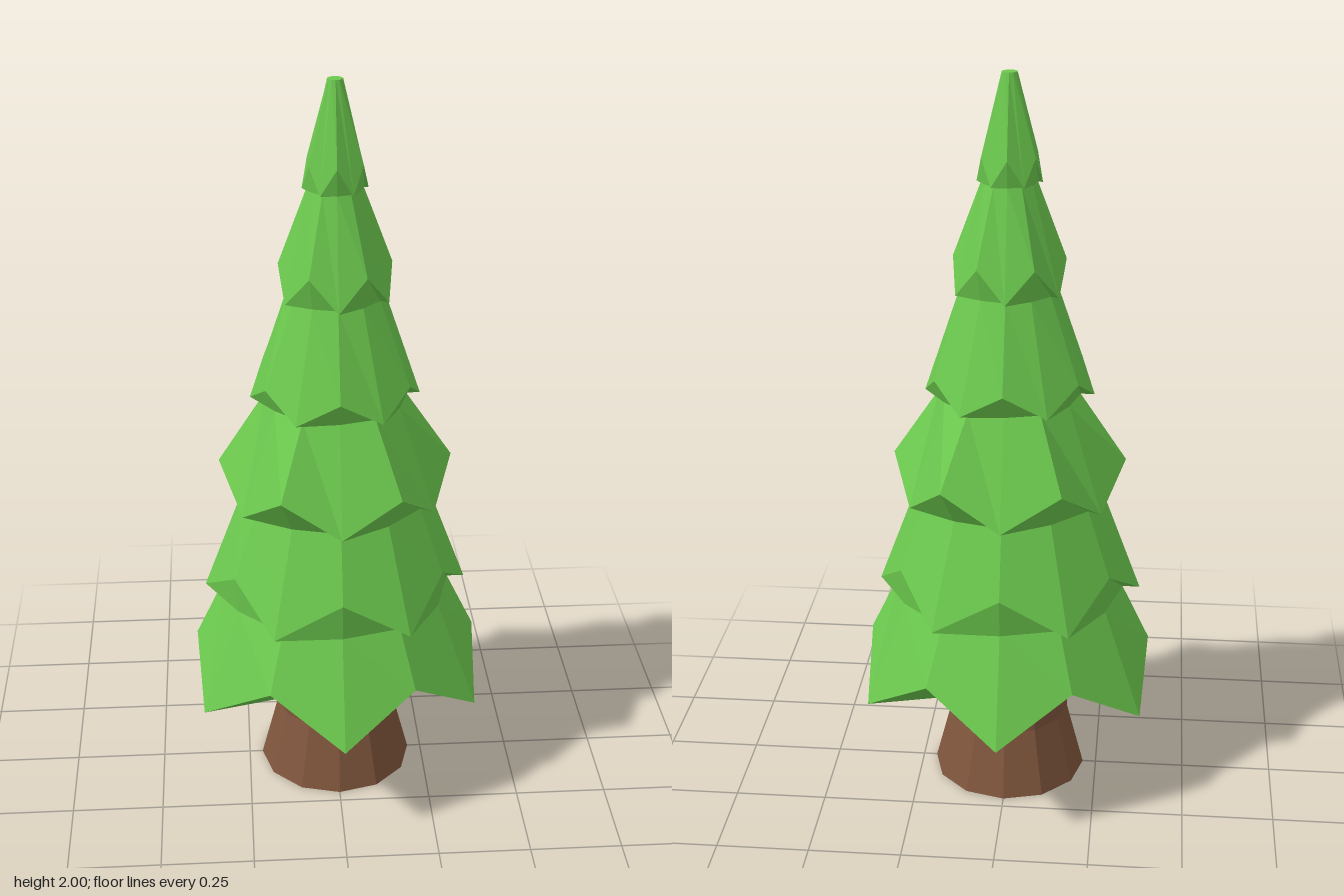
import * as THREE from 'three';

const SIDES = 12;

// Each tier: low tip radius/height, notch radius/height, upper ring radius/height
const TIERS = [
  { low: [0.432, 0.29], high: [0.39, 0.42], top: [0.315, 0.575] },
  { low: [0.362, 0.575], high: [0.325, 0.68], top: [0.255, 0.86] },
  { low: [0.295, 0.86], high: [0.315, 0.96], top: [0.19, 1.145] },
  { low: [0.227, 1.145], high: [0.218, 1.21], top: [0.13, 1.435] },
  { low: [0.155, 1.435], high: [0.148, 1.52], top: [0.073, 1.72] },
  { low: [0.085, 1.72], high: [0.08, 1.79], top: [0.02, 2] },
];

function lathe(name, profile, color) {
  const geometry = new THREE.LatheGeometry(profile.map(([r, y]) => new THREE.Vector2(r, y)), SIDES);
  const mesh = new THREE.Mesh(geometry, new THREE.MeshStandardMaterial({ color, flatShading: true }));
  mesh.name = name;
  return mesh;
}

// One continuous skin whose skirt rings zigzag between tips and notches
function makeFoliage() {
  const profile = [[0.16, 0.29]];
  for (const tier of TIERS) profile.push(tier.low, tier.top);
  profile.push([0, 2]);
  const mesh = lathe('foliage', profile, 0x6cc94e);
  const position = mesh.geometry.attributes.position;

  TIERS.forEach((tier, t) => {
    for (let i = 0; i <= SIDES; i++) {
      // Tips of neighbouring tiers are staggered by one side
      if ((i + t) % 2 === 0) continue;
      const angle = (i / SIDES) * Math.PI * 2;
      const [r, y] = tier.high;
      position.setXYZ(i * profile.length + 1 + 2 * t, r * Math.sin(angle), y, r * Math.cos(angle));
    }
  });
  mesh.geometry.computeVertexNormals();
  return mesh;
}

export function createModel() {
  const tree = new THREE.Group();
  tree.name = 'pineTree';

  // Trunk flares towards the ground
  const trunk = lathe('trunk', [[0, 0], [0.213, 0], [0.165, 0.185], [0.165, 0.3]], 0x80563d);
  tree.add(trunk, makeFoliage());
  return tree;
}
